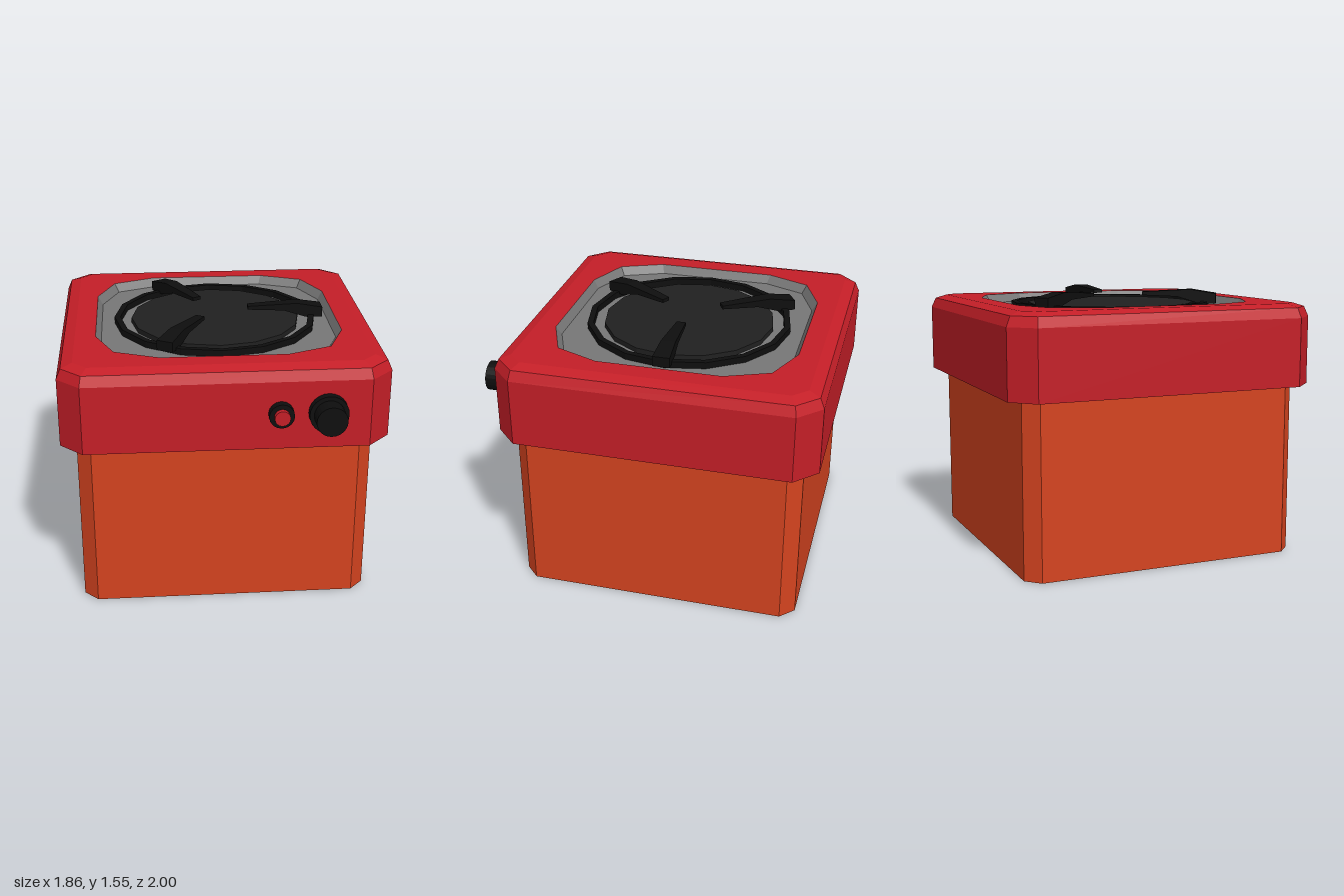
import * as THREE from 'three';

const mat = (color) => new THREE.MeshStandardMaterial({ color, flatShading: true });

// Square outline with cut corners, counterclockwise
function cutSquare(h, c) {
  const k = h - c;
  return [[h, -k], [h, k], [k, h], [-k, h], [-h, k], [-h, -k], [-k, -h], [k, -h]];
}

// Twelve-sided rounded square, counterclockwise
function roundSquare(h) {
  const pts = [];
  for (let i = 0; i < 4; i++) {
    const c = Math.round(Math.cos(i * Math.PI / 2)), s = Math.round(Math.sin(i * Math.PI / 2));
    for (const [x, y] of [[h, -0.5 * h], [h, 0.5 * h], [0.854 * h, 0.854 * h]])
      pts.push([x * c - y * s, x * s + y * c]);
  }
  return pts;
}

const toVectors = (pts) => pts.map(([x, y]) => new THREE.Vector2(x, y));

// Walls joining outlines at successive heights; faces outward when the heights rise
function walls(rings) {
  const pos = [];
  for (let r = 0; r < rings.length - 1; r++) {
    const [lo, yLo] = rings[r], [hi, yHi] = rings[r + 1];
    for (let i = 0; i < lo.length; i++) {
      const j = (i + 1) % lo.length;
      const a = [lo[i][0], yLo, -lo[i][1]], b = [lo[j][0], yLo, -lo[j][1]];
      const c = [hi[j][0], yHi, -hi[j][1]], d = [hi[i][0], yHi, -hi[i][1]];
      pos.push(...a, ...b, ...c, ...a, ...c, ...d);
    }
  }
  const g = new THREE.BufferGeometry();
  g.setAttribute('position', new THREE.Float32BufferAttribute(pos, 3));
  g.computeVertexNormals();
  return g;
}

// Flat horizontal plate, optionally with a hole, facing up or down
function plate(pts, y, hole, up = true) {
  const shape = new THREE.Shape(toVectors(pts));
  if (hole) shape.holes.push(new THREE.Path(toVectors(hole)));
  return new THREE.ShapeGeometry(shape).rotateX(up ? -Math.PI / 2 : Math.PI / 2).translate(0, y, 0);
}

// Cylinder along z from z0 to z1
const peg = (r, z0, z1, sides = 24) =>
  new THREE.CylinderGeometry(r, r, z1 - z0, sides).rotateX(Math.PI / 2).translate(0, 0, (z0 + z1) / 2);

export function createModel() {
  const model = new THREE.Group();
  model.name = 'campStove';
  const orange = mat(0xd4431f), red = mat(0xc41e27), grey = mat(0x777777);
  const black = mat(0x0e0e0e), dark = mat(0x202020);

  const add = (parent, name, geometry, material) => {
    const m = new THREE.Mesh(geometry, material);
    m.name = name;
    parent.add(m);
    return m;
  };

  const stove = new THREE.Group();
  stove.name = 'stove';
  stove.position.z = -0.07;
  model.add(stove);

  // Lower box
  const box = new THREE.ExtrudeGeometry(new THREE.Shape(toVectors(cutSquare(0.84, 0.08))),
    { depth: 1.01, bevelEnabled: false }).rotateX(-Math.PI / 2);
  add(stove, 'base', box, orange);

  // Wider head with a softened upper edge
  const head = new THREE.Group();
  head.name = 'head';
  stove.add(head);
  const bottom = cutSquare(0.93, 0.13), top = cutSquare(0.84, 0.08);
  add(head, 'headSides', walls([[bottom, 1.01], [bottom, 1.41],
    [cutSquare(0.905, 0.115), 1.468], [top, 1.49]]), red);
  add(head, 'headUnderside', plate(bottom, 1.01, null, false), red);
  const rim = roundSquare(0.72), floor = roundSquare(0.69);
  add(head, 'headTop', plate(top, 1.49, rim), red);

  // Sunken grey tray
  add(head, 'trayWall', walls([[rim, 1.49], [floor, 1.44]]), grey);
  add(head, 'trayFloor', plate(floor, 1.44), grey);

  // Burner disc and the ring around it
  add(stove, 'burner', new THREE.CylinderGeometry(0.51, 0.51, 0.03, 16).translate(0, 1.455, 0), dark);
  const ringProfile = [[0.577, 1.44], [0.613, 1.44], [0.613, 1.478], [0.577, 1.478], [0.577, 1.44]];
  add(stove, 'burnerRing', new THREE.LatheGeometry(toVectors(ringProfile), 16), black);

  // Three pot supports, widening outward
  const support = new THREE.ExtrudeGeometry(new THREE.Shape(toVectors([
    [0.2, 1.512], [0.42, 1.505], [0.55, 1.465], [0.655, 1.465],
    [0.655, 1.525], [0.5, 1.55], [0.2, 1.533]])),
  { depth: 1, bevelEnabled: false }).translate(0, 0, -0.5);
  const p = support.attributes.position;
  for (let i = 0; i < p.count; i++) p.setZ(i, p.getZ(i) * (0.055 + (p.getX(i) - 0.2) * 0.1));
  support.computeVertexNormals();
  for (let i = 0; i < 3; i++)
    add(stove, 'potSupport', support, black).rotation.y = i * Math.PI * 2 / 3;

  // Gas knob
  const knob = new THREE.Group();
  knob.name = 'gasKnob';
  knob.position.set(0.557, 1.225, 0);
  add(knob, 'knobCollar', peg(0.11, 0.84, 0.905), black);
  add(knob, 'knobGrip', peg(0.086, 0.9, 1.0), black);
  model.add(knob);

  // Igniter button
  const igniter = new THREE.Group();
  igniter.name = 'igniter';
  igniter.position.set(0.295, 1.225, 0);
  add(igniter, 'igniterCollar', peg(0.071, 0.84, 0.907, 16), black);
  add(igniter, 'igniterButton', peg(0.044, 0.9, 0.937, 16), red);
  model.add(igniter);

  return model;
}
